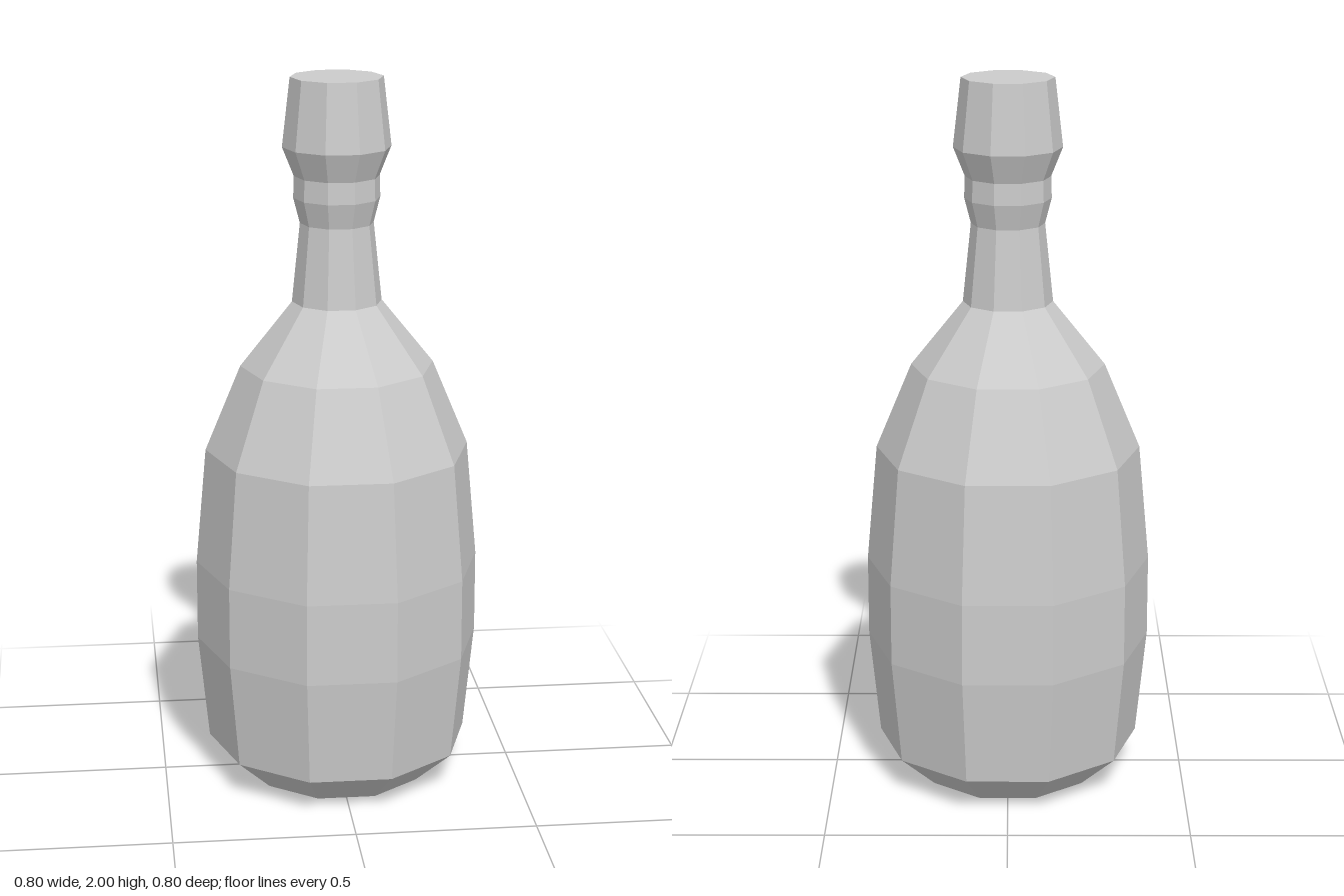
import * as THREE from 'three';

const SIDES = 10;
// Stretch in depth so the ten-sided section is as deep as it is wide
const DEPTH = 1 / Math.cos(Math.PI / SIDES);

// Faceted ring stack from [radius, height] pairs, bottom to top
function facetedLathe(name, profile, material) {
  const points = profile.map(([r, y]) => new THREE.Vector2(r, y));
  const geometry = new THREE.LatheGeometry(points, SIDES, Math.PI / 2);
  geometry.scale(1, 1, DEPTH);
  const mesh = new THREE.Mesh(geometry, material);
  mesh.name = name;
  return mesh;
}

export function createModel() {
  const model = new THREE.Group();
  model.name = 'bottle';
  const material = new THREE.MeshStandardMaterial({ color: 0xcccccc, flatShading: true });

  // Bevelled base, barrel-shaped belly and sloping shoulder
  model.add(facetedLathe('body', [
    [0, 0], [0.26, 0], [0.37, 0.1], [0.4, 0.4], [0.4, 0.63],
    [0.37, 0.96], [0.27, 1.2], [0.125, 1.38],
  ], material));

  // Tapering neck with a raised collar
  model.add(facetedLathe('neck', [
    [0.125, 1.38], [0.102, 1.6], [0.12, 1.67], [0.118, 1.73],
  ], material));

  // Flared stopper with a flat top
  model.add(facetedLathe('stopper', [
    [0.118, 1.73], [0.15, 1.81], [0.128, 2], [0, 2],
  ], material));

  return model;
}
